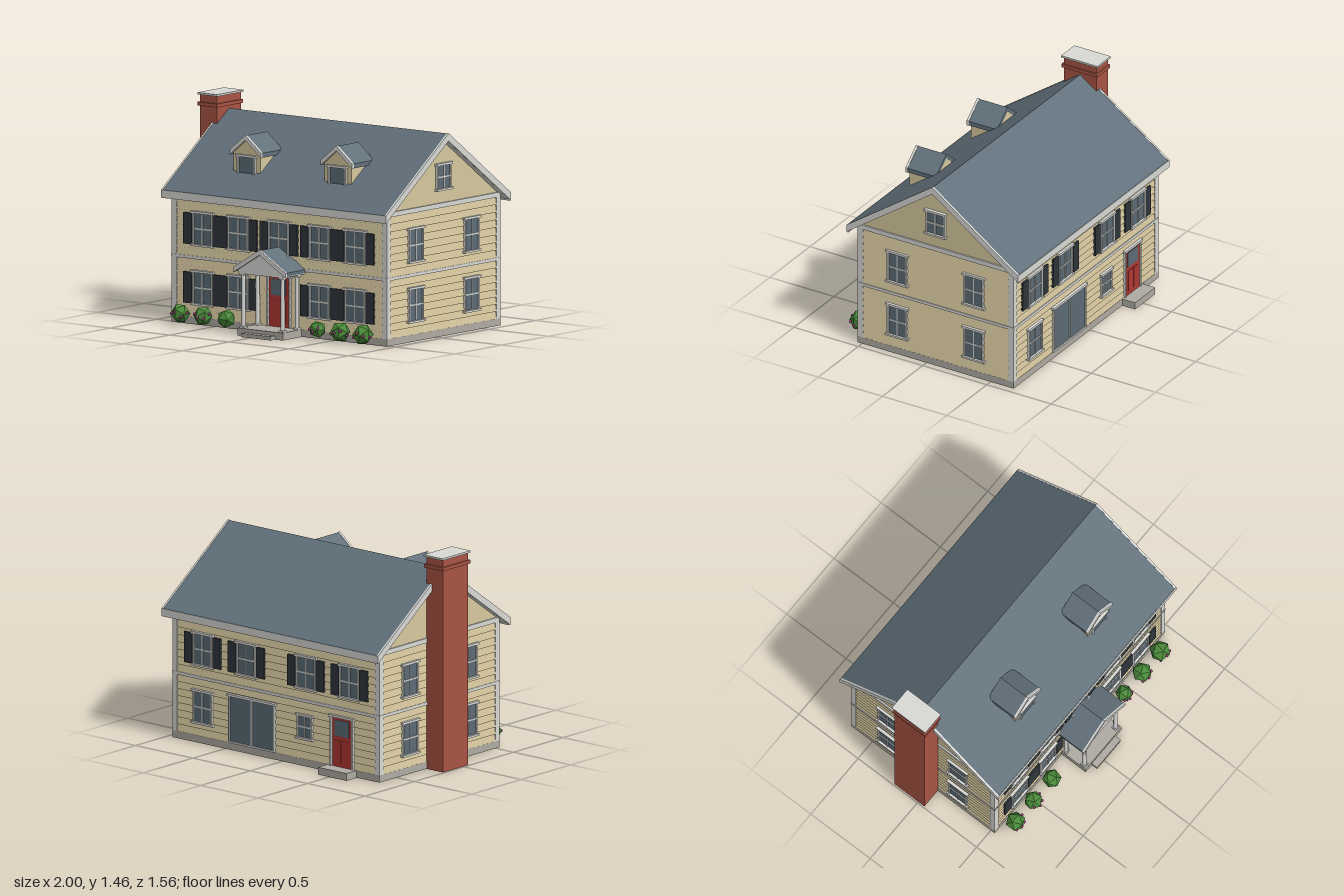
import * as THREE from 'three';

const mat = (name, color) => {
  const m = new THREE.MeshStandardMaterial({ color });
  m.name = name;
  return m;
};

export function createModel() {
  const M = {
    wall: mat('cream siding', 0xd8c99f), trim: mat('white trim', 0xd9dad6),
    roof: mat('slate roof', 0x62717b), glass: mat('window glass', 0x5c6c77),
    brick: mat('red brick', 0xa85443), door: mat('red door', 0xb23835),
    shutter: mat('dark shutter', 0x2f353b), stone: mat('grey stone', 0xb0aca4),
    leaf: mat('green leaf', 0x4a8a3a), flower: mat('magenta flower', 0xa03c7c),
  };
  M.leaf.flatShading = true;
  const house = new THREE.Group();
  house.name = 'house';
  const CX = 0.0525, CZ = -0.0735;

  const add = (parent, name, geo, m) => {
    const mesh = new THREE.Mesh(geo, m);
    mesh.name = name;
    parent.add(mesh);
    return mesh;
  };
  // box from its minimum and maximum corners
  const box = (parent, name, m, x0, x1, y0, y1, z0, z1) => {
    const mesh = add(parent, name, new THREE.BoxGeometry(x1 - x0, y1 - y0, z1 - z0), m);
    mesh.position.set((x0 + x1) / 2, (y0 + y1) / 2, (z0 + z1) / 2);
    return mesh;
  };
  // outline in x,y extruded from z0 to z1
  const prism = (parent, name, m, pts, z0, z1) => {
    const shape = new THREE.Shape(pts.map(p => new THREE.Vector2(p[0], p[1])));
    const geo = new THREE.ExtrudeGeometry(shape, { depth: z1 - z0, bevelEnabled: false });
    return add(parent, name, geo.translate(0, 0, z0), m);
  };
  // inverted V: half width, eave height, peak height, vertical thickness
  const chevron = (w, e, p, t) => [[-w, e - t], [0, p - t], [w, e - t], [w, e], [0, p], [-w, e]];
  const gable = (w, base, e, p) => [[-w, base], [w, base], [w, e], [0, p], [-w, e]];

  // group whose local z runs along the house, local x = depth from the ridge line
  const along = new THREE.Group();
  along.name = 'mainShell';
  along.rotation.y = Math.PI / 2;
  along.position.set(CX, 0, CZ);
  house.add(along);
  prism(along, 'body', M.wall, gable(0.595, 0, 0.885, 1.307), -0.893, 0.893);
  prism(along, 'roofDeck', M.trim, chevron(0.655, 0.877, 1.341, 0.035), -0.93, 0.93);
  prism(along, 'roofSlate', M.roof, chevron(0.664, 0.885, 1.356, 0.016), -0.932, 0.932);
  for (const s of [-1, 1]) {
    prism(along, 'rakeBoard', M.trim, chevron(0.667, 0.885, 1.359, 0.052),
      s < 0 ? -0.945 : 0.931, s < 0 ? -0.931 : 0.945);
    box(house, 'eaveFascia', M.trim, -0.892, 0.997, 0.832, 0.884,
      CZ + s * 0.66 - 0.007, CZ + s * 0.66 + 0.007);
  }

  // foundation, belt course, frieze and corner boards
  box(house, 'foundation', M.stone, -0.85, 0.955, 0.002, 0.05, -0.68, 0.533);
  box(house, 'beltCourse', M.trim, -0.853, 0.958, 0.437, 0.458, -0.683, 0.536);
  box(house, 'frieze', M.trim, -0.851, 0.956, 0.86, 0.892, -0.678, 0.531);
  for (const x of [-0.85, 0.915]) for (const z of [-0.68, 0.493])
    box(house, 'cornerBoard', M.trim, x, x + 0.04, 0.05, 0.87, z, z + 0.04);

  // the four wall faces; u runs along the wall in house coordinates
  const face = (side, u, y) => {
    const g = new THREE.Group();
    const at = { front: [u, 0.522, 0], back: [u, -0.669, Math.PI], right: [0.945, u, Math.PI / 2], left: [-0.84, u, -Math.PI / 2] }[side];
    g.position.set(at[0], y, at[1]);
    g.rotation.y = at[2];
    house.add(g);
    return g;
  };

  // clapboards: one sawtooth outline per storey
  const siding = (side, u, width, y0, y1) => {
    const n = 8, h = (y1 - y0) / n, pts = [[-0.004, y0]];
    for (let i = 0; i < n; i++) pts.push([0.009, y0 + i * h], [0.001, y0 + (i + 1) * h]);
    pts.push([-0.004, y1]);
    const g = face(side, u, 0);
    g.name = side + 'Siding';
    const mesh = prism(g, 'clapboards', M.wall, pts, -width / 2, width / 2);
    mesh.rotation.y = -Math.PI / 2;
  };
  for (const [y0, y1] of [[0.05, 0.438], [0.457, 0.862]]) {
    for (const s of ['front', 'back']) siding(s, CX, 1.74, y0, y1);
    for (const s of ['left', 'right']) siding(s, CZ, 1.15, y0, y1);
  }

  // casing around an opening of size w by h, centred on the group
  const casing = (g, w, h, d) => {
    const a = w / 2, b = h / 2;
    for (const s of [-1, 1])
      box(g, 'jamb', M.trim, s * (a - 0.006) - 0.006, s * (a - 0.006) + 0.006, -b, b, 0, d);
    box(g, 'header', M.trim, -a - 0.01, a + 0.01, b - 0.012, b + 0.004, 0, d + 0.005);
  };
  const windowUnit = (g, w, h, shutters, bars = true) => {
    const a = w / 2, b = h / 2;
    g.name = 'window';
    box(g, 'glass', M.glass, -a + 0.01, a - 0.01, -b, b - 0.01, 0.003, 0.012);
    casing(g, w, h, 0.02);
    box(g, 'sill', M.trim, -a - 0.01, a + 0.01, -b - 0.004, -b + 0.01, 0, 0.028);
    if (bars) {
      box(g, 'uprightBar', M.trim, -0.004, 0.004, -b, b - 0.01, 0.01, 0.017);
      box(g, 'meetingRail', M.trim, -a + 0.01, a - 0.01, -0.005, 0.005, 0.01, 0.018);
    }
    if (shutters) for (const s of [-1, 1])
      box(g, 'shutter', M.shutter, s * 0.124 - 0.034, s * 0.124 + 0.034, -b + 0.005, b - 0.012, 0, 0.018);
  };
  const doorUnit = (g) => {
    g.name = 'door';
    box(g, 'doorLeaf', M.door, -0.083, 0.083, -0.17, 0.165, 0, 0.014);
    box(g, 'doorGlass', M.glass, -0.062, 0.062, 0.04, 0.148, 0.013, 0.018);
    for (const s of [-1, 1])
      box(g, 'doorPanel', M.door, s * 0.034 - 0.026, s * 0.034 + 0.026, -0.14, 0.01, 0.013, 0.018);
    casing(g, 0.2, 0.352, 0.022);
  };

  const UP = 0.642, LOW = 0.248;
  for (const d of [-0.64, -0.34, 0, 0.34, 0.64]) {
    windowUnit(face('front', 0.05 + d, UP), 0.168, 0.226, true);
    if (d) windowUnit(face('front', 0.05 + d, LOW), 0.168, 0.226, true);
  }
  for (const d of [-0.64, -0.26, 0.26, 0.64])
    windowUnit(face('back', 0.05 + d, UP), 0.168, 0.226, true);
  for (const s of ['left', 'right']) for (const u of [0.224, -0.371])
    for (const y of [UP + 0.005, LOW]) windowUnit(face(s, u, y), 0.155, 0.23, false);
  windowUnit(face('right', CZ, 1.067), 0.148, 0.175, false);
  windowUnit(face('back', 0.69, LOW), 0.168, 0.226, false);
  windowUnit(face('back', -0.2, 0.27), 0.13, 0.165, false);
  doorUnit(face('front', 0.05, 0.22));
  doorUnit(face('back', -0.525, 0.22));

  // sliding patio door
  const patio = face('back', 0.262, 0.215);
  patio.name = 'patioDoor';
  box(patio, 'patioGlass', M.glass, -0.195, 0.195, -0.16, 0.16, 0, 0.013);
  casing(patio, 0.405, 0.33, 0.02);
  box(patio, 'patioMullion', M.trim, -0.006, 0.006, -0.16, 0.16, 0.005, 0.018);
  box(patio, 'patioTrack', M.trim, -0.2, 0.2, -0.165, -0.153, 0, 0.02);
  box(house, 'backStep', M.stone, -0.65, -0.4, 0, 0.05, -0.78, -0.67);

  // dormers
  for (const x of [-0.333, 0.431]) {
    const g = new THREE.Group();
    g.name = 'dormer';
    g.position.x = x;
    house.add(g);
    prism(g, 'dormerBody', M.wall, gable(0.112, 0.96, 1.157, 1.248), 0.172, 0.386);
    prism(g, 'dormerRoof', M.roof, chevron(0.131, 1.168, 1.276, 0.03), 0.17, 0.392);
    prism(g, 'dormerRake', M.trim, chevron(0.133, 1.17, 1.279, 0.034), 0.388, 0.406);
    const w = new THREE.Group();
    w.position.set(0, 1.07, 0.383);
    g.add(w);
    windowUnit(w, 0.148, 0.145, false, false);
  }

  // chimney on the left end
  const chimney = new THREE.Group();
  chimney.name = 'chimney';
  house.add(chimney);
  box(chimney, 'stack', M.brick, -0.99, -0.846, 0, 1.452, -0.2, 0.052);
  box(chimney, 'collar', M.brick, -0.999, -0.837, 1.376, 1.4, -0.212, 0.066);
  box(chimney, 'cap', M.trim, -1, -0.834, 1.45, 1.463, -0.216, 0.067);

  // entrance porch
  const porch = new THREE.Group();
  porch.name = 'porch';
  porch.position.x = 0.05;
  house.add(porch);
  box(porch, 'porchFloor', M.stone, -0.19, 0.19, 0, 0.05, 0.53, 0.734);
  box(porch, 'porchStep', M.stone, -0.125, 0.125, 0, 0.025, 0.73, 0.78);
  box(porch, 'entablature', M.trim, -0.187, 0.187, 0.413, 0.442, 0.525, 0.727);
  prism(porch, 'pediment', M.trim, [[-0.2, 0.43], [0.2, 0.43], [0, 0.56]], 0.525, 0.727);
  prism(porch, 'porchRoof', M.roof, chevron(0.219, 0.452, 0.584, 0.022), 0.52, 0.733);
  prism(porch, 'porchSoffit', M.trim, chevron(0.216, 0.437, 0.567, 0.014), 0.525, 0.73);
  prism(porch, 'porchRake', M.trim, chevron(0.222, 0.452, 0.587, 0.034), 0.73, 0.743);
  for (const x of [-0.165, 0.165]) for (const z of [0.703, 0.55]) {
    const c = add(porch, 'porchColumn', new THREE.CylinderGeometry(0.013, 0.015, 0.365, 12), M.trim);
    c.position.set(x, 0.232, z);
    for (const y of [0.05, 0.402])
      box(porch, 'columnBlock', M.trim, x - 0.019, x + 0.019, y, y + 0.012, z - 0.019, z + 0.019);
  }

  // foundation shrubs with a few blossoms
  const shrubs = [[-0.72, 0.068, 4], [-0.53, 0.066, 4], [-0.335, 0.065, 0],
    [0.43, 0.06, 3], [0.62, 0.07, 4], [0.81, 0.072, 4]];
  shrubs.forEach(([x, r, blossoms], i) => {
    const g = new THREE.Group();
    g.name = 'shrub';
    g.position.set(x, 0.078, 0.605);
    g.rotation.y = i * 0.9;
    house.add(g);
    add(g, 'foliage', new THREE.IcosahedronGeometry(r, 0), M.leaf);
    for (let k = 0; k < blossoms; k++) {
      const a = k * 0.75 - 0.8 - i * 0.9, e = 0.3 * Math.sin(k * 2.3 + i);
      const f = add(g, 'blossom', new THREE.SphereGeometry(0.01, 8, 6), M.flower);
      f.position.set(Math.sin(a) * Math.cos(e), Math.sin(e), Math.cos(a) * Math.cos(e)).multiplyScalar(r * 0.9);
    }
  });
  return house;
}
